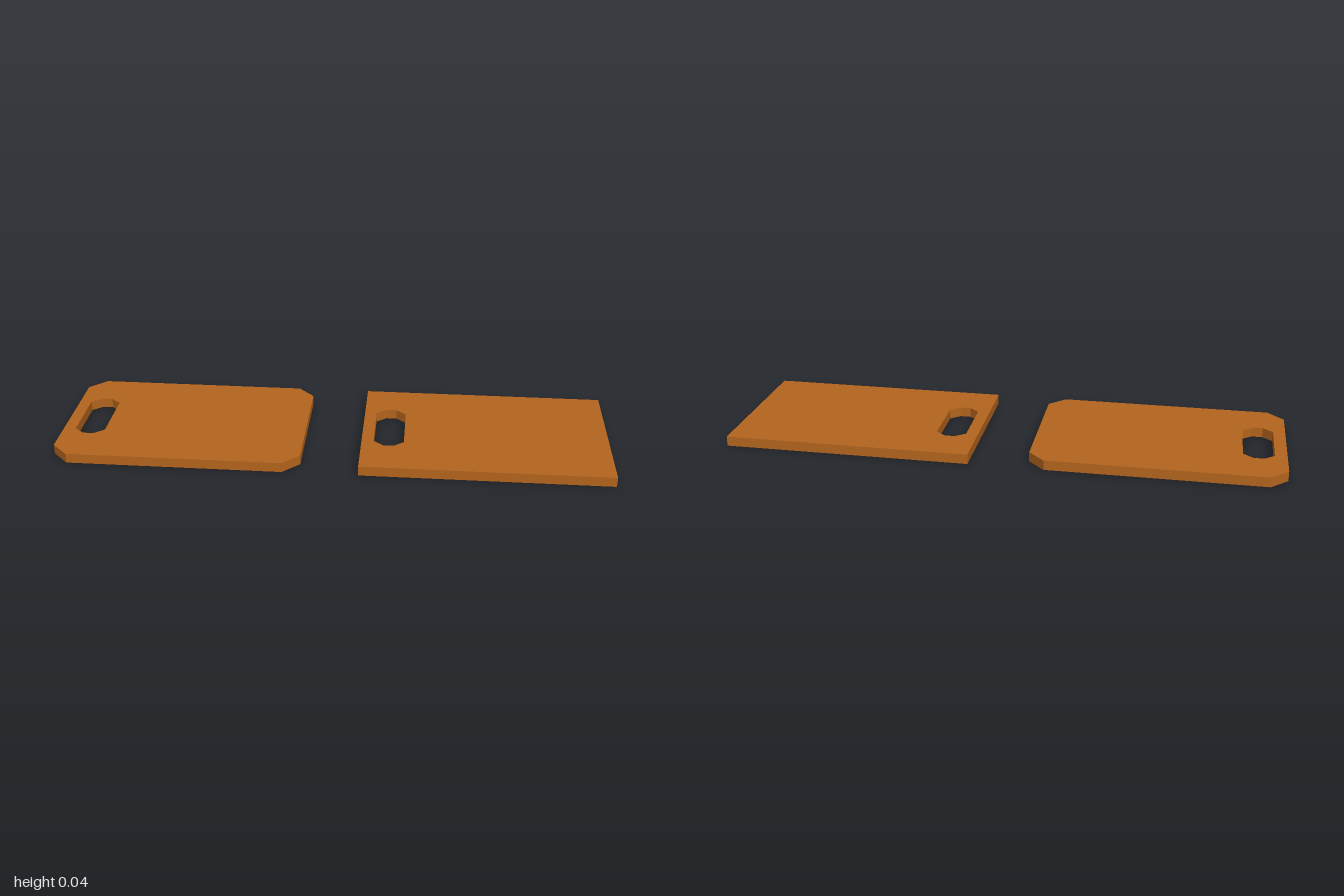
import * as THREE from 'three';

const THICKNESS = 0.036;
const HALF_DEPTH = 0.292;
const LENGTH = 0.895;

// Corner points of a rectangle with clipped corners (cx, cz = clip sizes)
function clippedRect(x0, x1, z0, z1, cx, cz) {
  if (!cx) return [[x0, z0], [x1, z0], [x1, z1], [x0, z1]].map(p => new THREE.Vector2(...p));
  return [
    [x0 + cx, z0], [x1 - cx, z0], [x1, z0 + cz], [x1, z1 - cz],
    [x1 - cx, z1], [x0 + cx, z1], [x0, z1 - cz], [x0, z0 + cz],
  ].map(p => new THREE.Vector2(...p));
}

// Flat board with a handle slot near its -x end
function makeBoard(name, x0, clip, material) {
  const shape = new THREE.Shape(
    clippedRect(x0, x0 + LENGTH, -HALF_DEPTH, HALF_DEPTH, clip, clip));
  const slot = clippedRect(x0 + 0.044, x0 + 0.154, -0.134, 0.14, 0.036, 0.03);
  shape.holes.push(new THREE.Path(slot.reverse()));

  const geometry = new THREE.ExtrudeGeometry(shape, { depth: THICKNESS, bevelEnabled: false });
  geometry.rotateX(-Math.PI / 2);
  const mesh = new THREE.Mesh(geometry, material);
  mesh.name = name;
  return mesh;
}

export function createModel() {
  const group = new THREE.Group();
  group.name = 'cuttingBoards';
  const wood = new THREE.MeshStandardMaterial({ color: 0xb5651d, flatShading: true });

  group.add(makeBoard('clippedCornerBoard', -1, 0.06, wood));
  group.add(makeBoard('squareCornerBoard', 0.105, 0, wood));
  return group;
}
